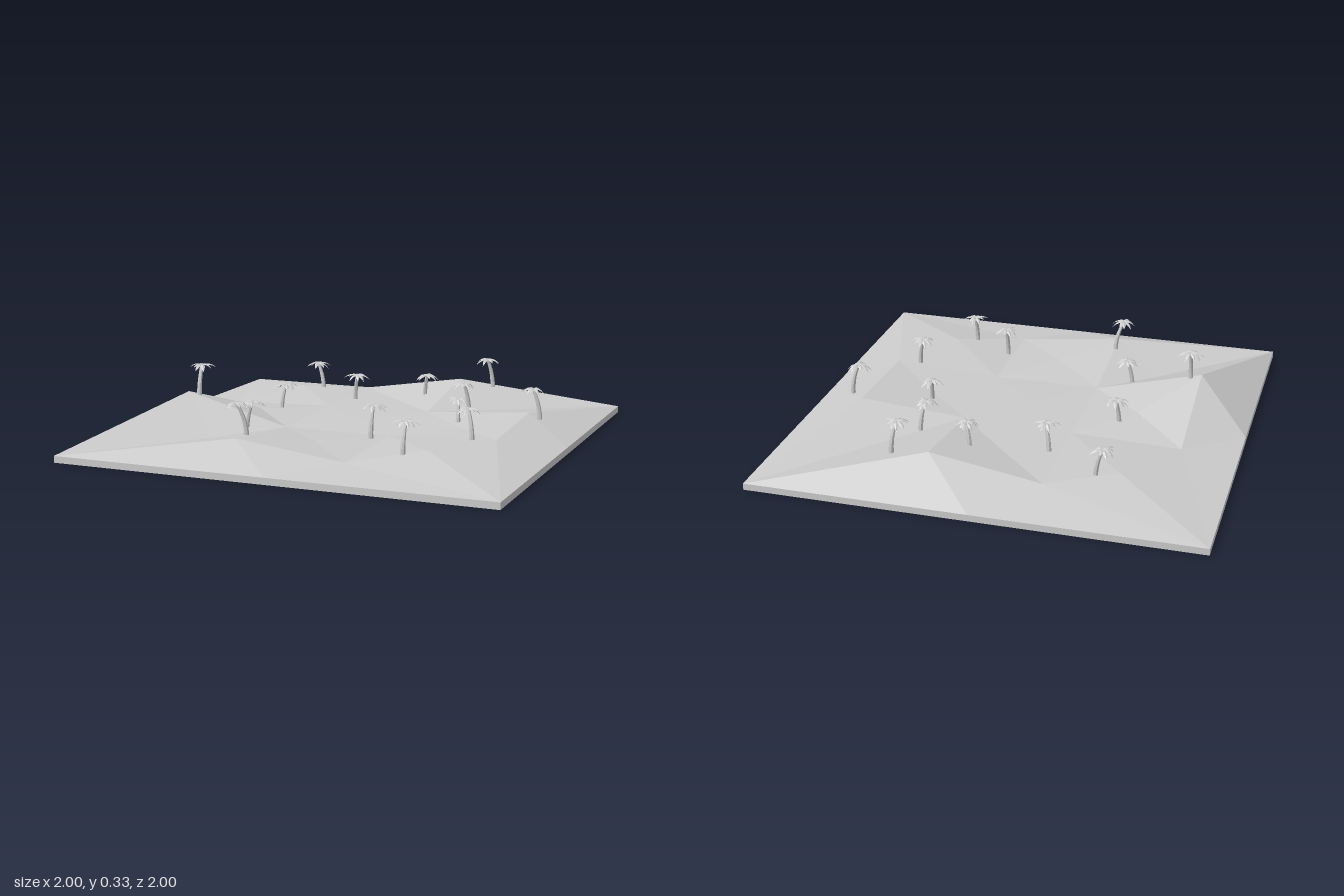
import * as THREE from 'three';
import { mergeGeometries } from 'three/addons/utils/BufferGeometryUtils.js';

const grey = new THREE.MeshStandardMaterial({ color: 0xcccccc, flatShading: true });
const leafGrey = new THREE.MeshStandardMaterial({ color: 0xcccccc, flatShading: true, side: THREE.DoubleSide });
const SLAB = 0.03;

// Dune relief: a 4 x 4 lattice whose corners are pulled out to the slab corners,
// with a hub point in every cell and a skirt of triangles down to the slab edge.
function terrainGeometry() {
  const axis = [-0.75, -0.25, 0.25, 0.75];
  const heights = [
    [SLAB, 0.08, 0.16, SLAB],
    [0.06, 0.075, 0.085, 0.12],
    [0.2, 0.07, 0.07, 0.095],
    [SLAB, 0.12, 0.06, SLAB],
  ];
  const hubs = [
    [[-0.55, 0.095, -0.6], [0, 0.08, -0.5], [0.5, 0.067, -0.5]],
    [[-0.5, 0.09, 0], [0, 0.08, 0], [0.5, 0.078, 0]],
    [[-0.5, 0.05, 0.5], [0, 0.08, 0.5], [0.55, 0.1, 0.57]],
  ];
  const isEnd = (i) => i === 0 || i === 3;
  const node = (r, c) => {
    const k = isEnd(r) && isEnd(c) ? 4 / 3 : 1;
    return [axis[c] * k, heights[r][c], axis[r] * k];
  };
  const pos = [];
  // add a triangle so that it always faces up
  const tri = (a, b, c) => {
    const up = (b[2] - a[2]) * (c[0] - a[0]) - (b[0] - a[0]) * (c[2] - a[2]);
    pos.push(...a, ...(up > 0 ? [...b, ...c] : [...c, ...b]));
  };
  for (let r = 0; r < 3; r++) {
    for (let c = 0; c < 3; c++) {
      const ring = [node(r, c), node(r, c + 1), node(r + 1, c + 1), node(r + 1, c)];
      ring.forEach((p, i) => tri(p, ring[(i + 1) % 4], hubs[r][c]));
    }
  }
  const sides = [
    [[0, SLAB, -1], (i) => node(0, i)],
    [[0, SLAB, 1], (i) => node(3, i)],
    [[-1, SLAB, 0], (i) => node(i, 0)],
    [[1, SLAB, 0], (i) => node(i, 3)],
  ];
  for (const [mid, at] of sides) {
    for (let i = 0; i < 3; i++) tri(at(i), at(i + 1), mid);
  }
  const g = new THREE.BufferGeometry();
  g.setAttribute('position', new THREE.Float32BufferAttribute(pos, 3));
  g.computeVertexNormals();
  return g;
}

// One arched, pointed frond with a raised midrib, growing along +x
function frondGeometry(length, droop) {
  const g = new THREE.PlaneGeometry(1, 1, 4, 2);
  const p = g.attributes.position;
  for (let i = 0; i < p.count; i++) {
    const t = p.getX(i) + 0.5;
    const side = p.getY(i) * 2;
    const half = 0.002 + 0.008 * Math.sin(Math.PI * Math.pow(t, 0.8));
    const arch = 0.03 * t - (0.03 + droop) * t * t;
    p.setXYZ(i, length * t, arch - Math.abs(side) * half * 0.5, -side * half * (t > 0.99 ? 0.1 : 1));
  }
  g.computeVertexNormals();
  return g;
}

function crownGeometry() {
  const fronds = [];
  const count = 9;
  for (let i = 0; i < count; i++) {
    const g = frondGeometry(0.056 + 0.01 * Math.sin(i * 2.3), 0.018 + 0.008 * Math.cos(i * 1.7));
    g.rotateY((i / count) * Math.PI * 2 + 0.15 * Math.sin(i * 4.1));
    fronds.push(g);
  }
  return mergeGeometries(fronds);
}

// Curved trunk that leans more near the ground and tapers upwards
function trunkGeometry(height, leanX, leanZ) {
  const g = new THREE.CylinderGeometry(0.008, 0.012, height, 7, 5);
  const p = g.attributes.position;
  for (let i = 0; i < p.count; i++) {
    const t = p.getY(i) / height + 0.5;
    const k = -(1 - t * t);
    p.setXYZ(i, p.getX(i) + leanX * k, p.getY(i) - height / 2, p.getZ(i) + leanZ * k);
  }
  g.computeVertexNormals();
  return g;
}

// crown x, crown z, crown top y, lean x, lean z
const palms = [
  [-0.48, -0.63, 0.225, -0.03, 0],
  [0.4, -0.72, 0.285, -0.02, 0.025],
  [0.15, -0.53, 0.22, 0.02, 0.02],
  [-0.18, -0.43, 0.215, 0.02, 0.02],
  [0.39, -0.38, 0.22, -0.02, 0.02],
  [-0.42, -0.11, 0.205, 0.015, -0.02],
  [0.45, -0.12, 0.2, -0.01, -0.03],
  [0.79, -0.17, 0.26, -0.03, 0.01],
  [-0.7, 0.21, 0.335, 0, -0.03],
  [-0.38, 0.33, 0.205, 0.025, -0.01],
  [0.25, 0.43, 0.255, 0, -0.03],
  [0.62, 0.25, 0.235, -0.025, -0.02],
  [-0.29, 0.66, 0.265, -0.035, 0.02],
  [0.46, 0.59, 0.235, 0, -0.035],
];

export function createModel() {
  const model = new THREE.Group();
  model.name = 'desertOasis';
  const add = (parent, name, geometry, material) => {
    const mesh = new THREE.Mesh(geometry, material);
    mesh.name = name;
    parent.add(mesh);
    return mesh;
  };

  // ground
  add(model, 'baseSlab', new THREE.BoxGeometry(2, SLAB, 2), grey).position.y = SLAB / 2;
  add(model, 'duneTerrain', terrainGeometry(), grey);

  // palms
  const crown = crownGeometry();
  palms.forEach(([x, z, top, leanX, leanZ], i) => {
    const palm = new THREE.Group();
    palm.name = 'palmTree' + (i + 1);
    palm.position.set(x, top - 0.012, z);
    add(palm, 'trunk', trunkGeometry(0.14, leanX, leanZ), grey);
    add(palm, 'crown', crown, leafGrey).rotation.y = i * 1.9;
    model.add(palm);
  });
  return model;
}
